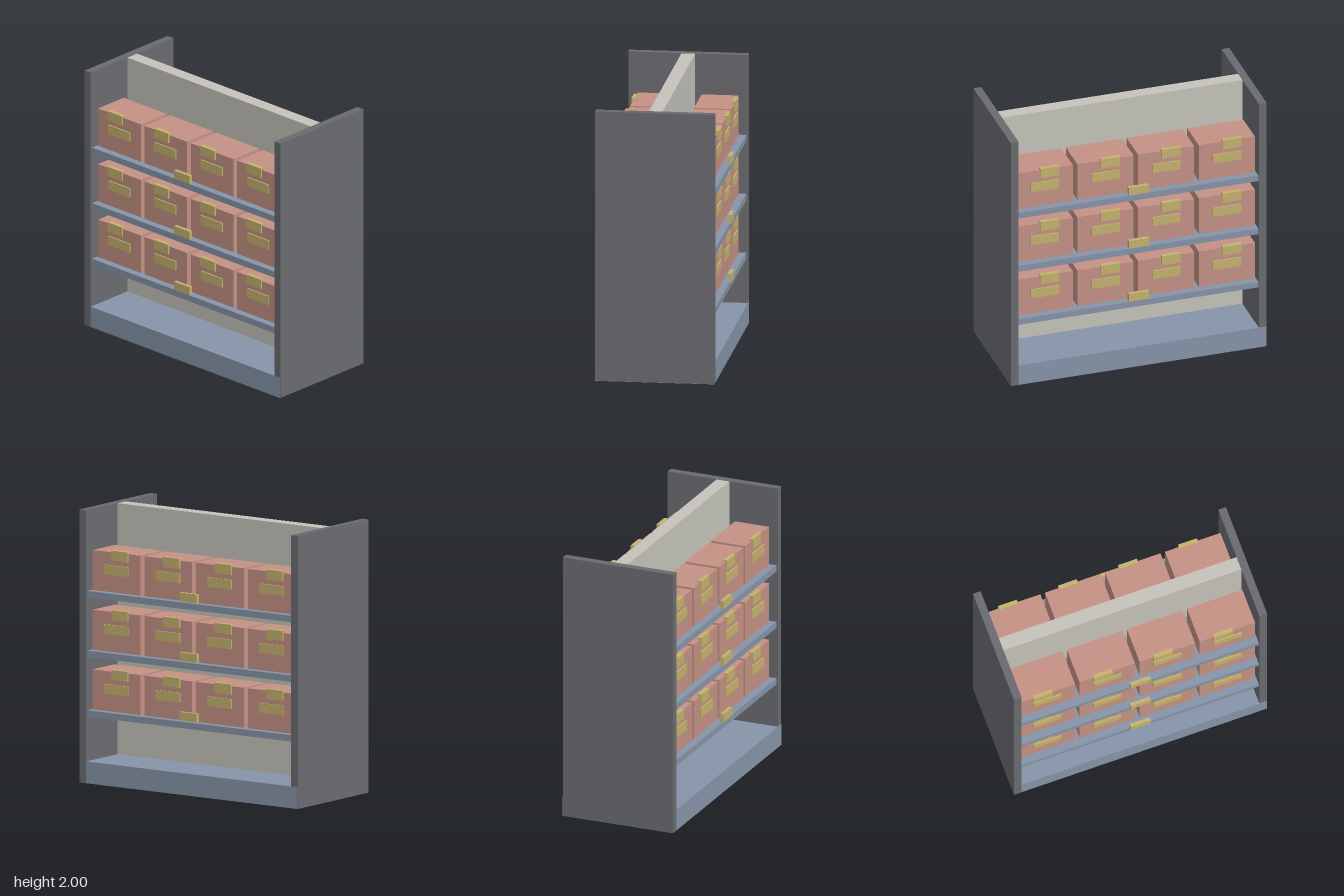
import * as THREE from 'three';

const mat = (name, color) => {
  const m = new THREE.MeshStandardMaterial({ color });
  m.name = name;
  return m;
};

// Box given by its minimum and maximum on each axis
function block(parent, name, material, [x0, x1], [y0, y1], [z0, z1]) {
  const geo = new THREE.BoxGeometry(x1 - x0, y1 - y0, z1 - z0);
  const mesh = new THREE.Mesh(geo, material);
  mesh.position.set((x0 + x1) / 2, (y0 + y1) / 2, (z0 + z1) / 2);
  mesh.name = name;
  parent.add(mesh);
}

export function createModel() {
  const model = new THREE.Group();
  model.name = 'shelvingUnit';
  const charcoal = mat('charcoal', 0x6a6b70);
  const steelBlue = mat('steelBlue', 0x8694a8);
  const beige = mat('beige', 0xc4c2ba);
  const coral = mat('coral', 0xc49184);
  const gold = mat('gold', 0xc4b26e);

  // Frame: plinth, centre board and two end panels
  block(model, 'plinth', steelBlue, [-0.97, 0.97], [0, 0.16], [-0.435, 0.435]);
  block(model, 'centreBoard', beige, [-0.913, 0.913], [0.16, 1.998], [-0.05, 0.05]);
  for (const s of [-1, 1]) {
    const x = s < 0 ? [-0.972, -0.913] : [0.913, 0.972];
    const shift = -s * 0.002;
    block(model, s < 0 ? 'rightPanel' : 'leftPanel', charcoal, x, [0.002, 2], [-0.435 + shift, 0.435 + shift]);
  }

  // Both faces carry three shelves with four boxes each
  for (const s of [-1, 1]) {
    const side = new THREE.Group();
    side.name = s > 0 ? 'frontShelves' : 'backShelves';
    model.add(side);
    const depth = (a, b) => (s > 0 ? [a, b] : [-b, -a]);

    for (const top of [0.533, 0.97, 1.407]) {
      block(side, 'shelf', steelBlue, [-0.913, 0.913], [top - 0.047, top], depth(0.05, 0.422));
      block(side, 'shelfTag', gold, [-0.077, 0.077], [top + 0.012, top + 0.075], depth(0.416, 0.442));

      for (let i = 0; i < 4; i++) {
        const x = (i - 1.5) * 0.461;
        block(side, 'box', coral, [x - 0.213, x + 0.213], [top, top + 0.293], depth(0.098, 0.367));
        block(side, 'boxLabel', gold, [x - 0.107, x + 0.107], [top + 0.128, top + 0.198], depth(0.355, 0.377));
        block(side, 'boxClip', gold, [x - 0.107, x + 0.037], [top + 0.235, top + 0.308], depth(0.35, 0.381));
      }
    }
  }
  return model;
}
